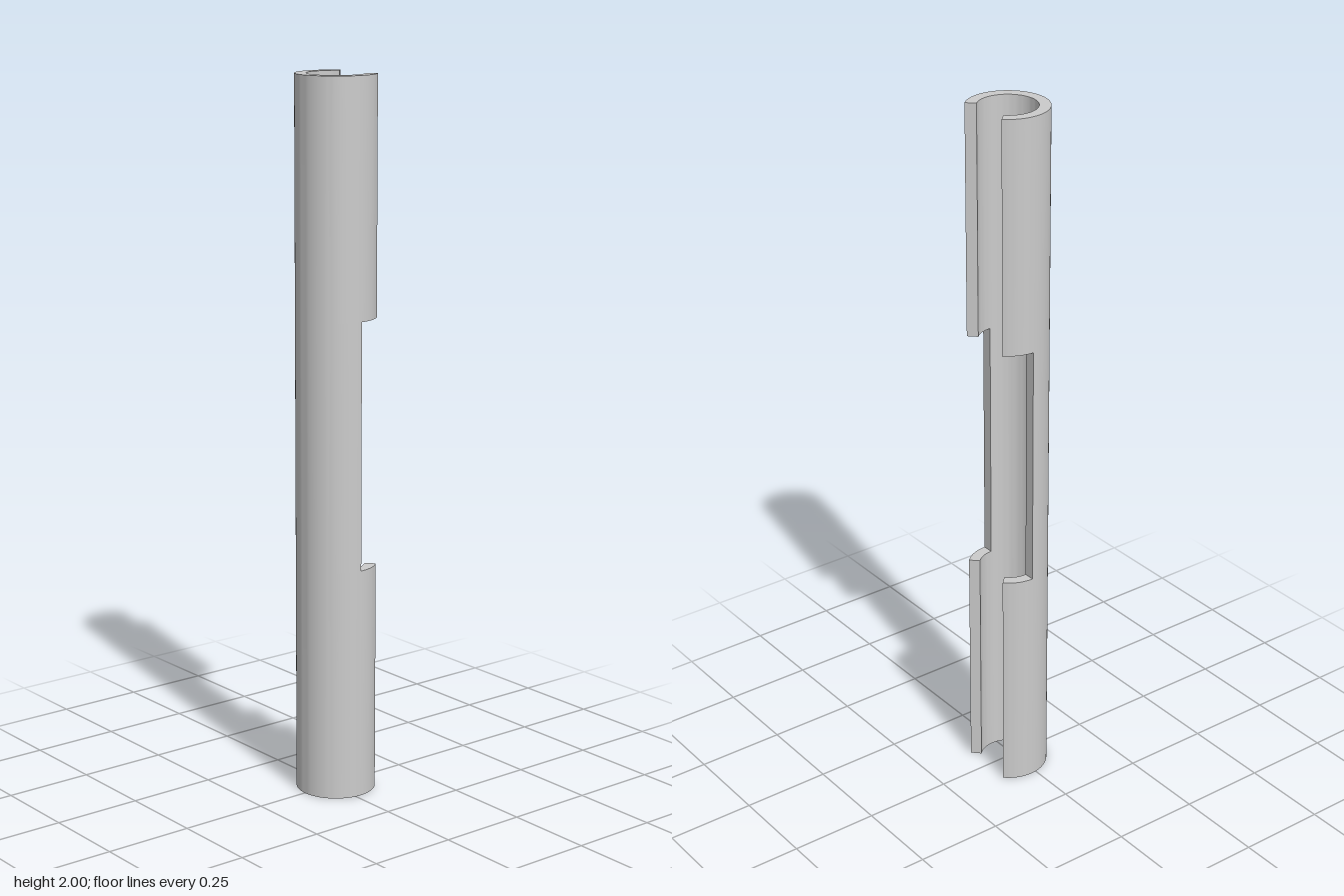
import * as THREE from 'three';
import { toCreasedNormals } from 'three/addons/utils/BufferGeometryUtils.js';

const OUTER = 0.111, INNER = 0.08, CENTRE_Z = -0.016;
const STEP = 5;                       // degrees per wall cell
const LEVELS = [0, 0.655, 1.347, 2];  // heights of the bottom, window and top
const HALF_ARC = [135, 90, 135];      // half opening of the wall in each band

// Is the wall present in this band, in the cell starting at this angle?
function solid(band, deg) {
  const half = HALF_ARC[band];
  return half !== undefined && deg >= -half && deg < half;
}

// One continuous slotted tube wall: only the exposed sides of each cell get a face
function slottedTube() {
  const positions = [];
  const point = (deg, r, y) => {
    const a = THREE.MathUtils.degToRad(deg);
    return [r * Math.sin(a), y, r * Math.cos(a) + CENTRE_Z];
  };
  const quad = (a, b, c, d) => positions.push(...a, ...b, ...c, ...a, ...c, ...d);

  for (let band = 0; band < HALF_ARC.length; band++) {
    const y0 = LEVELS[band], y1 = LEVELS[band + 1];
    for (let a0 = -HALF_ARC[band]; a0 < HALF_ARC[band]; a0 += STEP) {
      const a1 = a0 + STEP;
      const o = (a, y) => point(a, OUTER, y);
      const i = (a, y) => point(a, INNER, y);
      // outer and inner skins
      quad(o(a0, y0), o(a1, y0), o(a1, y1), o(a0, y1));
      quad(i(a1, y0), i(a0, y0), i(a0, y1), i(a1, y1));
      // upper and lower rims
      if (!solid(band + 1, a0)) quad(o(a0, y1), o(a1, y1), i(a1, y1), i(a0, y1));
      if (!solid(band - 1, a0)) quad(i(a0, y0), i(a1, y0), o(a1, y0), o(a0, y0));
      // slot edges
      if (!solid(band, a1)) quad(o(a1, y0), i(a1, y0), i(a1, y1), o(a1, y1));
      if (!solid(band, a0 - STEP)) quad(i(a0, y0), o(a0, y0), o(a0, y1), i(a0, y1));
    }
  }
  const geometry = new THREE.BufferGeometry();
  geometry.setAttribute('position', new THREE.Float32BufferAttribute(positions, 3));
  return toCreasedNormals(geometry, Math.PI / 6);
}

export function createModel() {
  const group = new THREE.Group();
  group.name = 'slottedTubeModel';
  const tube = new THREE.Mesh(slottedTube(), new THREE.MeshStandardMaterial({ color: 0xcccccc }));
  tube.name = 'slottedTube';
  group.add(tube);
  return group;
}
